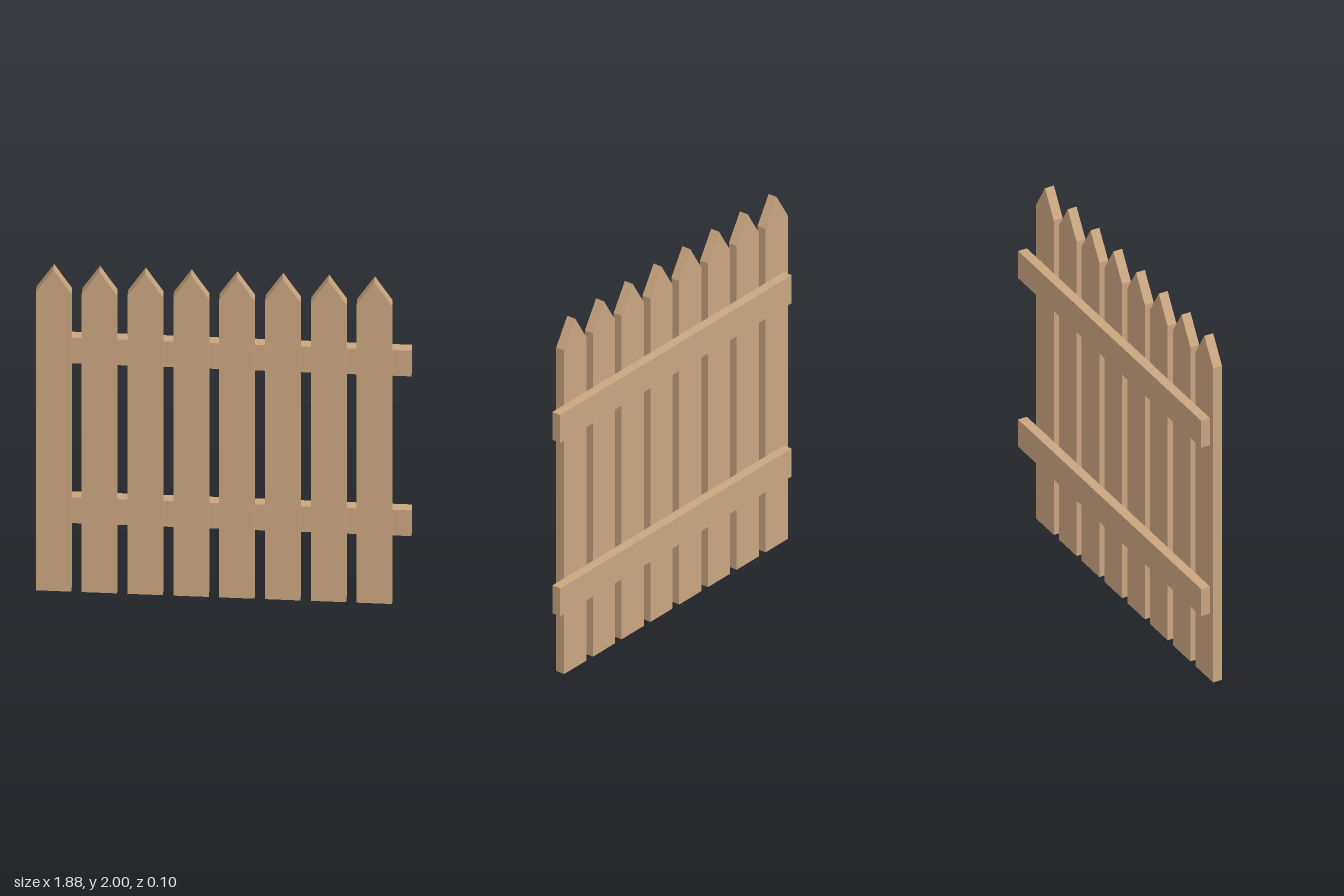
import * as THREE from 'three';

const DEPTH = 0.051;

export function createModel() {
  const fence = new THREE.Group();
  fence.name = 'picketFence';
  const wood = new THREE.MeshStandardMaterial({ color: 0xc9a57f, flatShading: true });
  wood.name = 'light wood';

  // Pointed pickets, in front of the rails
  const half = 0.089;
  const outline = new THREE.Shape([
    new THREE.Vector2(-half, 0),
    new THREE.Vector2(half, 0),
    new THREE.Vector2(half, 1.856),
    new THREE.Vector2(0, 2),
    new THREE.Vector2(-half, 1.856),
  ]);
  const picketGeometry = new THREE.ExtrudeGeometry(outline, { depth: DEPTH, bevelEnabled: false });
  for (let i = 0; i < 8; i++) {
    const picket = new THREE.Mesh(picketGeometry, wood);
    picket.name = `picket${i + 1}`;
    picket.position.x = -0.853 + i * 0.2302;
    fence.add(picket);
  }

  // Two horizontal rails, shifted sideways so they stick out at the left end
  const railGeometry = new THREE.BoxGeometry(1.852, 0.16, DEPTH);
  for (const [name, y] of [['lowerRail', 0.47], ['upperRail', 1.465]]) {
    const rail = new THREE.Mesh(railGeometry, wood);
    rail.name = name;
    rail.position.set(0.016, y, -DEPTH / 2);
    fence.add(rail);
  }
  return fence;
}
